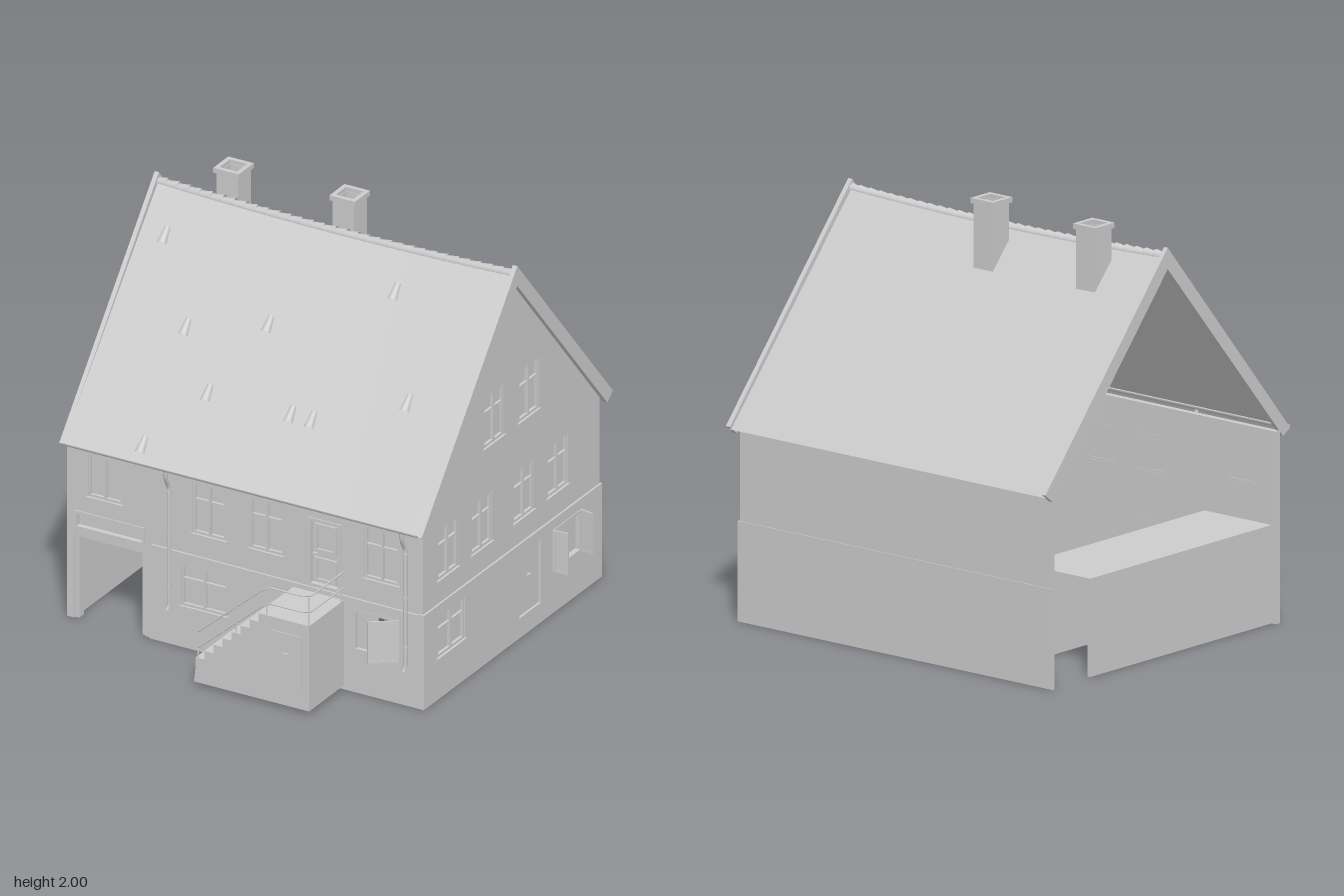
import * as THREE from 'three';

const grey = new THREE.MeshStandardMaterial({ color: 0xcccccc, side: THREE.DoubleSide });

function add(parent, name, geometry, x = 0, y = 0, z = 0) {
  const m = new THREE.Mesh(geometry, grey);
  m.name = name;
  m.position.set(x, y, z);
  parent.add(m);
  return m;
}

// Box given by its limits on each axis
const block = (p, name, x0, x1, y0, y1, z0, z1) => add(p, name,
  new THREE.BoxGeometry(x1 - x0, y1 - y0, z1 - z0), (x0 + x1) / 2, (y0 + y1) / 2, (z0 + z1) / 2);

const shapeOf = (pts) => new THREE.Shape(pts.map(([x, y]) => new THREE.Vector2(x, y)));

// Wall slab with rectangular holes [x0, x1, y0, y1]; its outer face lies at z = face
function wall(parent, name, outline, holes, face, depth = 0.03) {
  const shape = shapeOf(outline);
  for (const [a, b, c, d] of holes) {
    shape.holes.push(new THREE.Path([[a, c], [b, c], [b, d], [a, d]].map(([x, y]) => new THREE.Vector2(x, y))));
  }
  return add(parent, name, new THREE.ExtrudeGeometry(shape, { depth, bevelEnabled: false }), 0, 0, face - depth);
}

// Frame of four bars around a rectangle
function frame(p, name, [a, b, c, d], t, z0, z1) {
  block(p, name, a, a + t, c, d, z0, z1);
  block(p, name, b - t, b, c, d, z0, z1);
  block(p, name, a + t, b - t, c, c + t, z0, z1);
  block(p, name, a + t, b - t, d - t, d, z0, z1);
}

// Casement window, optionally with a cross bar
function windowUnit(p, r, face, crossBar = true) {
  const g = new THREE.Group();
  g.name = 'window';
  const [a, b, c, d] = r, mid = (a + b) / 2, bar = c + (d - c) * 0.66;
  block(g, 'windowPane', a, b, c, d, face - 0.024, face - 0.018);
  frame(g, 'windowFrame', r, 0.012, face - 0.028, face - 0.004);
  block(g, 'mullion', mid - 0.006, mid + 0.006, c, d, face - 0.026, face - 0.002);
  if (crossBar) block(g, 'crossBar', a, b, bar - 0.004, bar + 0.004, face - 0.026, face - 0.005);
  block(g, 'sill', a - 0.008, b + 0.008, c - 0.01, c, face - 0.02, face + 0.008);
  p.add(g);
}

// Open casement leaf standing out from its hinge
function openLeaf(p, x, z, width, angle) {
  const g = new THREE.Group();
  g.name = 'openCasement';
  frame(g, 'leafFrame', [0, width, 0.21, 0.42], 0.012, -0.004, 0.004);
  block(g, 'leafPane', 0.012, width - 0.012, 0.222, 0.408, -0.002, 0.002);
  g.position.set(x, 0, z);
  g.rotation.y = angle;
  p.add(g);
}

function rod(p, name, points, r) {
  const path = new THREE.CurvePath();
  const v = points.map((q) => new THREE.Vector3(...q));
  for (let i = 1; i < v.length; i++) path.add(new THREE.LineCurve3(v[i - 1], v[i]));
  add(p, name, new THREE.TubeGeometry(path, (v.length - 1) * 6, r, 8));
}

function doorHandle(p, x, y, z) {
  block(p, 'doorHandle', x, x + 0.025, y, y + 0.006, z, z + 0.012);
}

function buildFront(house) {
  const g = new THREE.Group();
  g.name = 'frontWall';
  const F = 0.65, L = 0.66;
  const tall = [[-0.32, -0.145, 0.585, 0.845], [-0.02, 0.155, 0.585, 0.845], [0.58, 0.765, 0.585, 0.845]];
  const left = [-0.87, -0.69, 0.63, 0.845], door = [0.285, 0.46, 0.475, 0.82], transom = [-0.94, -0.57, 0.455, 0.545];
  const low = [-0.375, -0.13, 0.21, 0.42], open = [0.53, 0.77, 0.21, 0.42];
  wall(g, 'frontUpperWall', [[-0.98, 0], [-0.94, 0], [-0.94, 0.43], [-0.57, 0.43], [-0.57, 0], [-0.53, 0],
    [-0.53, 0.47], [0.89, 0.47], [0.89, 0.9], [-0.98, 0.9]], [...tall, left, door, transom], F);
  wall(g, 'frontLowerWall', [[-0.54, 0], [0.9, 0], [0.89, 0.47], [-0.53, 0.475]], [low, open], L);
  tall.forEach((r) => windowUnit(g, r, F));
  windowUnit(g, left, F, false);
  windowUnit(g, low, L);

  // Half-open window
  frame(g, 'windowFrame', open, 0.012, L - 0.028, L + 0.002);
  block(g, 'windowPane', 0.53, 0.65, 0.21, 0.42, L - 0.022, L - 0.016);
  openLeaf(g, 0.77, L, 0.145, Math.PI + 0.62);

  // Entrance door with two glazed panels
  const [a, b, c, d] = door;
  block(g, 'entranceDoor', a, b, c, d, F - 0.026, F - 0.018);
  frame(g, 'doorFrame', door, 0.016, F - 0.028, F + 0.006);
  frame(g, 'upperDoorPanel', [a + 0.03, b - 0.03, 0.65, 0.79], 0.014, F - 0.02, F - 0.008);
  frame(g, 'lowerDoorPanel', [a + 0.03, b - 0.03, 0.5, 0.62], 0.014, F - 0.02, F - 0.008);
  doorHandle(g, a + 0.02, 0.635, F - 0.016);

  // Passage behind the garage opening
  block(g, 'transomPanel', ...transom, F - 0.026, F - 0.018);
  frame(g, 'transomFrame', transom, 0.014, F - 0.026, F + 0.006);
  for (const x of [-0.94, -0.59]) block(g, 'garageJamb', x, x + 0.02, 0, 0.43, F - 0.05, F - 0.01);
  block(g, 'garageLintel', -0.94, -0.57, 0.41, 0.43, F - 0.05, F - 0.01);
  block(g, 'garageOuterWall', -0.955, -0.94, 0, 0.46, -0.64, F - 0.03);
  block(g, 'garageInnerWall', -0.57, -0.555, 0, 0.46, -0.64, F - 0.03);
  block(g, 'garageCeiling', -0.955, -0.555, 0.45, 0.46, -0.64, F - 0.03);
  house.add(g);
}

function buildGable(house) {
  // Turned so that local x runs towards the back and local z points outwards
  const g = new THREE.Group();
  g.name = 'gableWall';
  g.rotation.y = Math.PI / 2;
  const F = 0.89, L = 0.9, uppers = [];
  for (const x of [-0.11, 0.2]) uppers.push([x, x + 0.18, 1.08, 1.34]);
  for (const x of [-0.52, -0.22, 0.155, 0.455]) uppers.push([x, x + 0.182, 0.59, 0.845]);
  const low = [-0.54, -0.295, 0.21, 0.42], door = [0.19, 0.38, 0.1, 0.42], open = [0.485, 0.735, 0.21, 0.42];
  wall(g, 'gableUpperWall', [[-0.65, 0.47], [0.92, 0.47], [0.92, 0.9], [0.13, 1.83], [-0.65, 0.9]], uppers, F);
  wall(g, 'gableLowerWall', [[-0.66, 0], [0.925, 0], [0.925, 0.47], [-0.66, 0.475]], [low, door, open], L);
  uppers.forEach((r) => windowUnit(g, r, F));
  windowUnit(g, low, L);
  block(g, 'sideDoor', ...door, L - 0.024, L - 0.012);
  doorHandle(g, 0.27, 0.28, L - 0.012);
  frame(g, 'openWindowFrame', open, 0.012, L - 0.028, L + 0.004);
  block(g, 'windowPane', ...open, L - 0.026, L - 0.022);
  openLeaf(g, 0.49, L, 0.078, -Math.PI / 2 + 0.03);
  openLeaf(g, 0.735, L, 0.07, -Math.PI / 2 - 0.15);

  // Verge boards on both ends of the roof
  const band = [[-0.72, 0.9], [0.13, 1.91], [0.98, 0.92], [0.93, 0.88], [0.13, 1.81], [-0.67, 0.87]];
  wall(g, 'rightVergeBoard', band, [], 0.924, 0.024);
  wall(g, 'leftVergeBoard', band, [], -0.958, 0.022);
  house.add(g);
}

const ridgeY = (x) => 1.872 - 0.022 * (1 - ((x + 0.03) / 0.95) ** 2);

function buildRoof(house) {
  const g = new THREE.Group();
  g.name = 'roof';
  // Slopes hanging from a sagging ridge
  for (const [name, eaveZ] of [['frontSlope', 0.72], ['backSlope', -0.97]]) {
    const geo = new THREE.PlaneGeometry(1.88, 1, 16, 1), p = geo.attributes.position;
    for (let i = 0; i < p.count; i++) {
      const x = p.getX(i) - 0.03, top = p.getY(i) > 0;
      p.setXYZ(i, x, top ? ridgeY(x) : 0.905, top ? -0.13 : eaveZ);
    }
    if (eaveZ < 0) geo.setIndex([...geo.index.array].reverse());
    geo.computeVertexNormals();
    add(g, name, geo);
  }
  // Overlapping ridge tiles
  for (let i = 0; i < 32; i++) {
    const x = -0.94 + i * 0.0588;
    const tile = add(g, 'ridgeTile', new THREE.CylinderGeometry(0.019, 0.026, 0.064, 10, 1, true, 0, Math.PI), x, ridgeY(x) - 0.006, -0.13);
    tile.rotation.z = Math.PI / 2 + 0.04;
  }
  // Small vent tiles
  const vents = [[-0.835, 1.69], [-0.575, 1.4], [-0.185, 1.48], [-0.355, 1.2], [0.08, 1.2], [0.19, 1.2], [0.365, 1.7], [0.62, 1.34], [-0.575, 0.97]];
  for (const [x, y] of vents) {
    const z = 0.72 - (y - 0.905) / (ridgeY(x) - 0.905) * 0.85;
    const vent = add(g, 'roofVent', new THREE.CylinderGeometry(0.014, 0.024, 0.08, 10, 1, true, -Math.PI / 2, Math.PI), x, y, z);
    vent.rotation.x = -0.72;
  }
  // Hollow chimneys
  for (const [x, top] of [[-0.625, 1.985], [-0.015, 2]]) {
    const r = (h, e) => [x - h, x + h, -0.23 - h, -0.23 + h].map((v, i) => v + (i % 2 ? e : -e));
    const c = new THREE.Group();
    c.name = 'chimney';
    for (const [name, half, t, y0, y1] of [['chimneyStack', 0.057, 0.015, 1.66, top - 0.02], ['chimneyCap', 0.067, 0.022, top - 0.025, top]]) {
      const [x0, x1, z0, z1] = r(half, 0);
      block(c, name, x0, x0 + t, y0, y1, z0, z1);
      block(c, name, x1 - t, x1, y0, y1, z0, z1);
      block(c, name, x0 + t, x1 - t, y0, y1, z0, z0 + t);
      block(c, name, x0 + t, x1 - t, y0, y1, z1 - t, z1);
    }
    block(c, 'chimneyFloor', x - 0.05, x + 0.05, top - 0.08, top - 0.07, -0.28, -0.18);
    g.add(c);
  }
  // Gutter and downpipes
  const gutter = add(g, 'gutter', new THREE.CylinderGeometry(0.018, 0.018, 1.88, 10, 1, true, -Math.PI / 2, Math.PI), -0.03, 0.91, 0.712);
  gutter.rotation.set(Math.PI / 2, 0, Math.PI / 2);
  for (const x of [-0.43, 0.81]) {
    rod(g, 'downpipe', [[x, 0.9, 0.712], [x, 0.85, 0.705], [x, 0.8, 0.674], [x, 0.21, 0.674], [x, 0.185, 0.69]], 0.01);
    for (const y of [0.3, 0.55, 0.77]) add(g, 'pipeClamp', new THREE.CylinderGeometry(0.013, 0.013, 0.012, 8), x, y, 0.674);
  }
  house.add(g);
}

function buildStair(house) {
  const g = new THREE.Group();
  g.name = 'outsideStair';
  const pts = [[0.48, 0.45], [0.48, 0.02], [-0.125, 0.02], [-0.115, 0.1]];
  for (let i = 0; i < 8; i++) {
    const x = -0.115 + i * 0.047, y = 0.1 + (i + 1) * 0.04375;
    pts.push([x, y], [x + 0.047, y]);
  }
  wall(g, 'stairBlock', pts, [], 0.97, 0.315);
  // Cellar door below the landing
  block(g, 'cellarDoor', 0.28, 0.44, 0.1, 0.385, 0.965, 0.974);
  doorHandle(g, 0.35, 0.28, 0.972);
  // Railings
  const z = 0.965;
  for (const h of [0, 0.08]) {
    rod(g, 'rail', [[-0.105, 0.275 - h, z], [0.255, 0.59 - h, z], [0.475, 0.59 - h, z], [0.475, 0.59 - h, 0.66]], 0.004);
  }
  for (const [x, y0, y1, pz] of [[-0.105, 0.1, 0.275, z], [0.095, 0.27, 0.45, z], [0.255, 0.45, 0.59, z], [0.475, 0.45, 0.59, z], [0.475, 0.45, 0.59, 0.68]]) {
    rod(g, 'railPost', [[x, y0, pz], [x, y1, pz]], 0.004);
  }
  house.add(g);
}

export function createModel() {
  const house = new THREE.Group();
  house.name = 'house';
  buildFront(house);
  buildGable(house);
  block(house, 'backUpperWall', -0.975, 0.89, 0.47, 0.9, -0.92, -0.91);
  block(house, 'backLowerWall', -0.975, 0.9, 0, 0.47, -0.925, -0.91);
  buildRoof(house);
  buildStair(house);
  return house;
}
